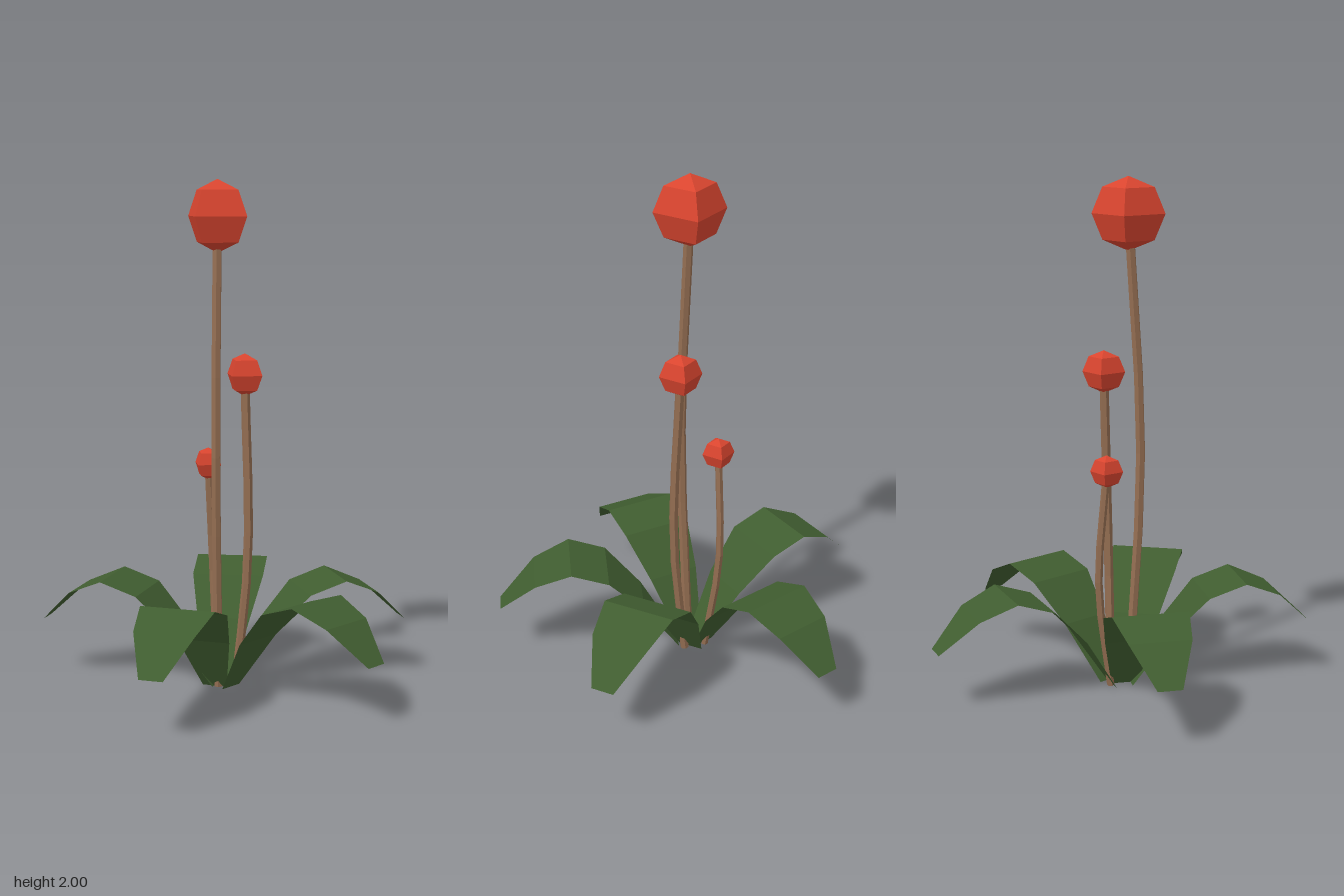
import * as THREE from 'three';

const red = new THREE.MeshStandardMaterial({ name: 'flower red', color: 0xd9452f, flatShading: true });
const brown = new THREE.MeshStandardMaterial({ name: 'stem brown', color: 0x946e52, flatShading: true, side: THREE.DoubleSide });
const green = new THREE.MeshStandardMaterial({ name: 'leaf green', color: 0x405d30, flatShading: true, side: THREE.DoubleSide });

// Arched leaf blade along +x: [distance, height, half width]
function leafGeometry() {
  const stations = [
    [0.032, 0, 0.05], [0.176, 0.22, 0.108], [0.319, 0.37, 0.147],
    [0.468, 0.42, 0.148], [0.612, 0.36, 0.12], [0.754, 0.225, 0.047],
  ];
  const positions = [], index = [];
  stations.forEach(([x, y, w], i) => {
    positions.push(x, y, -w, x, y, w);
    if (i > 0) {
      const a = 2 * i - 2;
      index.push(a, a + 1, a + 3, a, a + 3, a + 2);
    }
  });
  const g = new THREE.BufferGeometry();
  g.setAttribute('position', new THREE.Float32BufferAttribute(positions, 3));
  g.setIndex(index);
  g.computeVertexNormals();
  return g;
}

export function createModel() {
  const model = new THREE.Group();
  model.name = 'plant';

  // Rosette of leaves: [origin x, origin z, heading in degrees]
  const blade = leafGeometry();
  [
    [0.023, -0.021, -110], [0.029, -0.054, -28.8], [0.047, -0.04, 39.3],
    [0.016, -0.01, 96], [0.017, -0.048, 162],
  ].forEach(([x, z, heading], i) => {
    const leaf = new THREE.Mesh(blade, green);
    leaf.name = `leaf${i + 1}`;
    leaf.position.set(x, 0, z);
    leaf.rotation.y = -THREE.MathUtils.degToRad(heading);
    model.add(leaf);
  });

  // Bent stems, each ending in a round faceted flower head
  [
    { path: [[-0.005, 0, -0.025], [-0.05, 0.93, -0.005], [-0.005, 1.86, -0.03]], stem: 0.019, head: 0.141 },
    { path: [[0.07, 0, 0.005], [0.085, 0.52, 0.053], [0.098, 1.243, 0.027]], stem: 0.018, head: 0.084 },
    { path: [[0.06, 0, -0.08], [0.1, 0.42, -0.13], [0.068, 0.88, -0.13]], stem: 0.015, head: 0.064 },
  ].forEach(({ path, stem, head }, i) => {
    const points = path.map((p) => new THREE.Vector3(...p));
    const stalk = new THREE.Mesh(
      new THREE.TubeGeometry(new THREE.CatmullRomCurve3(points), 6, stem, 6), brown);
    stalk.name = `stem${i + 1}`;
    const flower = new THREE.Mesh(new THREE.SphereGeometry(head, 4, 4), red);
    flower.name = `flowerHead${i + 1}`;
    flower.position.copy(points[2]);
    model.add(stalk, flower);
  });

  return model;
}
